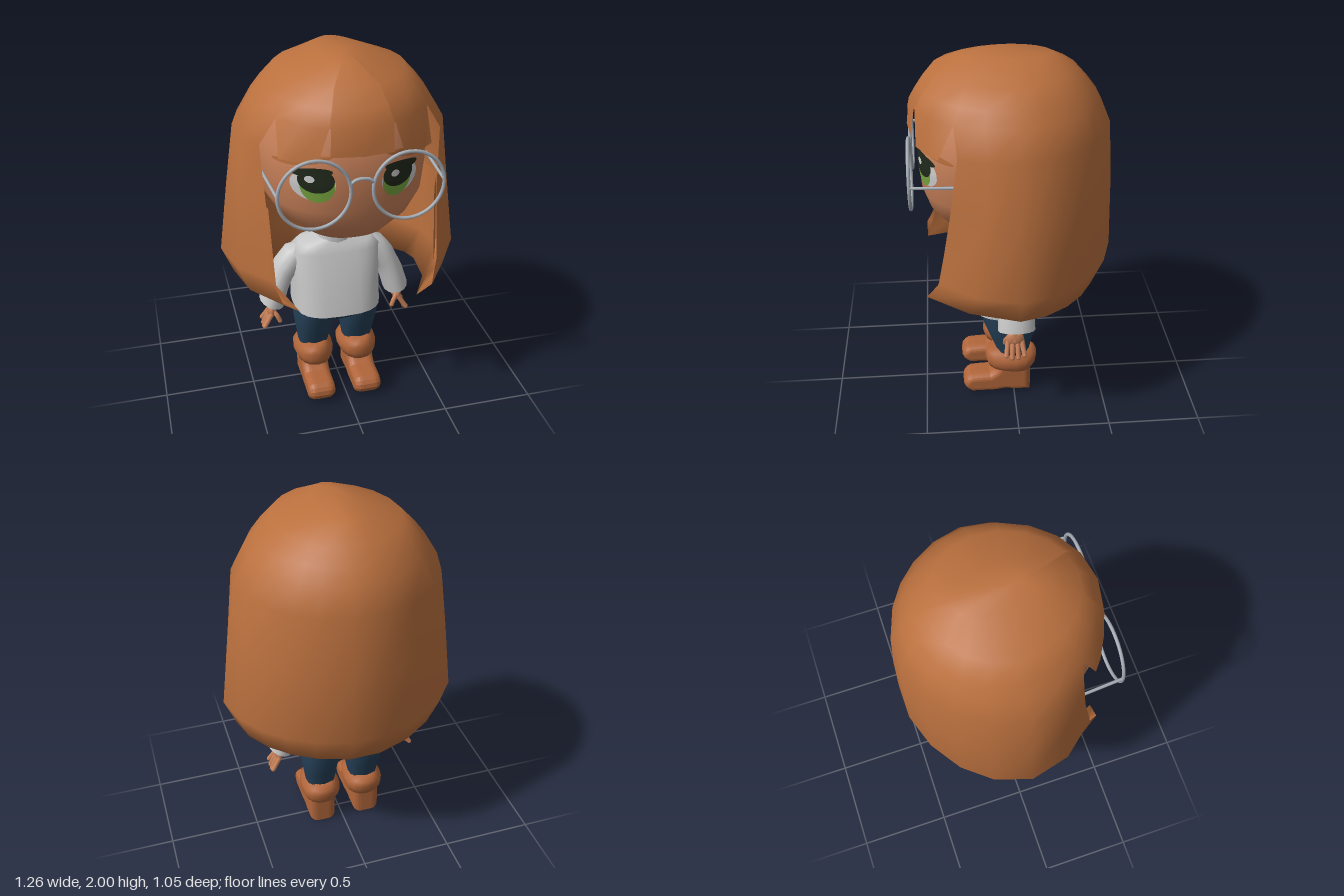
import * as THREE from 'three';
import { mergeVertices } from 'three/addons/utils/BufferGeometryUtils.js';

const mat = (name, color, side = THREE.FrontSide) => {
  const m = new THREE.MeshStandardMaterial({ color, side });
  m.name = name;
  return m;
};
const V = (x, y, z) => new THREE.Vector3(x, y, z);
const RAD = Math.PI / 180;
const pw = (v, p) => Math.sign(v) * Math.abs(v) ** p;

// Interpolates rows of [y, ...values], sorted by rising y
function sample(keys, y) {
  let i = 0;
  while (i < keys.length - 2 && y > keys[i + 1][0]) i++;
  const k = THREE.MathUtils.clamp((y - keys[i][0]) / (keys[i + 1][0] - keys[i][0]), 0, 1);
  return keys[i].map((v, n) => v + (keys[i + 1][n] - v) * k);
}

// Closed skin over rings listed from bottom to top; skip(i, j) leaves quads out
function loft(rings, skip = () => false) {
  const n = rings[0].length, index = [];
  for (let i = 0; i < rings.length - 1; i++)
    for (let j = 0; j < n; j++) {
      if (skip(i, j)) continue;
      const k = (j + 1) % n, a = i * n + j, b = i * n + k;
      index.push(a, b, b + n, a, b + n, a + n);
    }
  const g = new THREE.BufferGeometry().setFromPoints(rings.flat());
  g.setIndex(index);
  return g;
}
const smooth = (g) => {
  g.computeVertexNormals();
  return g.toNonIndexed();
};

// Horizontal ring with half-width a, front zf and back zb; e = 2 is an ellipse
function ring([y, a, zf, zb], n = 16, cx = 0, e = 2) {
  return Array.from({ length: n }, (_, j) => {
    const t = (j / n) * Math.PI * 2, c = pw(Math.cos(t), 2 / e);
    return V(cx + a * pw(Math.sin(t), 2 / e), y, c > 0 ? c * zf : -c * zb);
  });
}
const tower = (rows, n, cx, e) => smooth(loft(rows.map((r) => ring(r, n, cx, e))));

// Outer hair: [y, half-width, front, back, angle of the edge beside the face]
const HAIR = [
  [0.67, 0.45, 0.63, -0.28, 43], [0.75, 0.57, 0.63, -0.46, 43], [0.92, 0.632, 0.54, -0.53, 43],
  [1.3, 0.582, 0.495, -0.52, 48], [1.62, 0.535, 0.527, -0.5, 57], [1.75, 0.455, 0.51, -0.445, 54],
  [1.8, 0.42, 0.48, -0.41, 54], [1.9, 0.325, 0.4, -0.32, 54], [1.97, 0.12, 0.26, -0.2, 54],
];
function hairPoint(y, deg, k = 1) {
  const [, a, zf, zb] = sample(HAIR, y), s = Math.sin(deg * RAD), c = Math.cos(deg * RAD);
  const low = THREE.MathUtils.clamp((0.95 - y) / 0.28, 0, 1);
  const lift = low * (0.03 * Math.abs(s) + Math.max(0, c) * 0.11);
  const flat = c < 0 ? k * (1 - 0.04 * Math.abs(2 * s * c)) : k; // broad planes at the back corners
  return V(a * s * flat, y + lift, c > 0 ? c * zf * k : -c * zb * flat);
}
// Hair columns in degrees: round the back, then across the fringe (roots and tips)
const BACK = [54, 72, 90, 107, 124, 139, 154, 172, 189, 208, 228, 248, 270, 288, 306];
const ROOTS = [306, 323, 340, 341, 360, 379, 380, 397, 414];
const TIPS = [316, 323, 337, 343, 360, 376, 383, 397, 404];
// Turns the two locks so that their front edges follow the edge angle
function backAngle(d, y) {
  const off = Math.abs(d - 180) - 90;
  return off > 0 ? 180 + Math.sign(d - 180) * (90 + (off / 36) * (90 - sample(HAIR, y)[4])) : d;
}

// Head: [y, half-width, front, back]
const HEAD = [
  [1.045, 0.02, 0.12, -0.05], [1.07, 0.15, 0.29, -0.15], [1.11, 0.25, 0.375, -0.2],
  [1.2, 0.36, 0.435, -0.25], [1.3, 0.415, 0.468, -0.28], [1.45, 0.43, 0.48, -0.3],
  [1.6, 0.43, 0.475, -0.3], [1.75, 0.36, 0.4, -0.28],
];
const faceZ = (x, y) => {
  const [, a, zf] = sample(HEAD, y);
  return zf * (1 - Math.min(1, Math.abs(x) / a) ** 2.4) ** (1 / 2.4);
};

// Thin oval laid on the face
function facePatch(cx, cy, rx, ry, off, tilt = 0) {
  const g = new THREE.RingGeometry(0.001, 1, 28, 6).scale(rx, ry, 1).rotateZ(tilt).translate(cx, cy, 0);
  const p = g.attributes.position;
  for (let i = 0; i < p.count; i++) p.setZ(i, faceZ(p.getX(i), p.getY(i)) + off);
  g.computeVertexNormals();
  return g;
}

export function createModel() {
  const root = new THREE.Group();
  const M = {
    hair: mat('hair', 0xba703e, THREE.DoubleSide),
    skin: mat('skin', 0xc67f58),
    sweater: mat('sweater', 0xc6c6c6, THREE.DoubleSide),
    trousers: mat('trousers', 0x243f56),
    boots: mat('boots', 0xb0653a),
    metal: mat('glasses metal', 0xa6adb5),
    dark: mat('eye dark', 0x20281b),
    green: mat('iris green', 0x76a33e),
    white: mat('eye white', 0xcccccc),
  };
  const add = (name, geo, material, parent = root) => {
    const m = new THREE.Mesh(geo, material);
    m.name = name;
    parent.add(m);
    return m;
  };
  const rod = (name, pts, r, material, parent) =>
    add(name, new THREE.TubeGeometry(new THREE.CatmullRomCurve3(pts), 8, r, 8), material, parent);

  // Hair: inner wall, curled hem, outer wall, crown; open over the face below a notched fringe
  const outer = (y) => [...BACK.map((d) => hairPoint(y, backAngle(d, y))), ...ROOTS.map((d) => hairPoint(y, d))];
  const inner = (y, depth) => [...BACK, ...ROOTS].map((d) => {
    const edge = Math.min(1, Math.abs(Math.abs(d - 180) - 126) / 50);
    return hairPoint(y, backAngle(d, y), 0.98 - depth * edge);
  });
  const fringeRow = [
    ...BACK.map((d) => hairPoint(1.62, backAngle(d, 1.62))),
    ...TIPS.map((d, j) => hairPoint(j < 3 || j > 5 ? 1.58 : 1.615, d)),
  ];
  const rows = [inner(1.3, 0.2), inner(0.88, 0.28), ...[0.67, 0.75, 0.92, 1.3].map(outer), fringeRow,
    ...[1.75, 1.82, 1.9, 1.97].map(outer), outer(1.97).map(() => V(0, 2, 0.12))];
  const first = BACK.length - 1, gaps = [0, 3, 6, 9].map((j) => first + j);
  const hairSkin = loft(rows, (i, j) => (i < 6 && j >= first) || (i === 6 && gaps.includes(j)));
  add('hair', smooth(mergeVertices(hairSkin)), M.hair);

  // Head and face
  add('head', tower(HEAD, 64, 0, 2.4), M.skin);
  for (const s of [-1, 1]) {
    const x = s * 0.205 - 0.012;
    add('eyeWhite', facePatch(x + s * 0.006, 1.452, 0.1, 0.082, 0.003), M.white);
    add('iris', facePatch(x - s * 0.012, 1.447, 0.078, 0.086, 0.005), M.green);
    add('pupil', facePatch(x - s * 0.006, 1.477, 0.082, 0.064, 0.007), M.dark);
    add('upperLash', facePatch(x + s * 0.012, 1.518, 0.092, 0.024, 0.008, -s * 0.08), M.dark);
    add('eyeGlint', facePatch(x - 0.025, 1.485, 0.022, 0.018, 0.009), M.white);
    add('eyebrow', facePatch(s * 0.25 - 0.01, 1.572, 0.13, 0.02, 0.004, -s * 0.24), M.hair);
  }

  // Glasses
  const glasses = new THREE.Group();
  glasses.name = 'glasses';
  glasses.position.x = -0.008;
  root.add(glasses);
  for (const s of [-1, 1]) {
    add('lensRim', new THREE.TorusGeometry(0.175, 0.009, 8, 40), M.metal, glasses).position.set(s * 0.229, 1.44, 0.518);
    rod('temple', [V(s * 0.404, 1.45, 0.518), V(s * 0.425, 1.45, 0.2)], 0.008, M.metal, glasses);
  }
  rod('bridge', [V(-0.06, 1.475, 0.518), V(-0.03, 1.497, 0.518), V(0.03, 1.497, 0.518), V(0.06, 1.475, 0.518)], 0.009, M.metal, glasses);

  const body = new THREE.Group();
  body.name = 'body';
  body.position.x = -0.016;
  root.add(body);

  // Sweater and collar
  add('neck', new THREE.CylinderGeometry(0.07, 0.07, 0.2, 16), M.skin, body).position.y = 1.0;
  add('sweater', tower([
    [0.54, 0.225, 0.2, -0.15], [0.53, 0.243, 0.225, -0.168], [0.53, 0.243, 0.225, -0.168], [0.7, 0.24, 0.185, -0.14],
    [0.87, 0.245, 0.13, -0.11], [0.91, 0.2, 0.11, -0.1], [0.945, 0.08, 0.085, -0.08],
  ], 24, 0, 3), M.sweater, body);
  add('collar', tower([
    [0.92, 0.1, 0.1, -0.09], [1.035, 0.092, 0.09, -0.085], [1.035, 0.092, 0.09, -0.085], [1.035, 0.065, 0.065, -0.06],
  ], 16, 0, 2.4), M.sweater, body);

  for (const s of [-1, 1]) {
    // Sleeve: [x, y, in-plane radius, depth radius] from the cuff lining to the shoulder
    const dir = (dx, dy) => V(s * dx, dy, 0).normalize();
    const sleeve = [
      [0.33, 0.64, 0.05, 0.07], [0.358, 0.55, 0.07, 0.1], [0.358, 0.55, 0.07, 0.1],
      [0.325, 0.66, 0.068, 0.095], [0.285, 0.75, 0.072, 0.085], [0.225, 0.83, 0.07, 0.08], [0.17, 0.86, 0.05, 0.06],
    ].map(([x, y, r1, r2], i) => {
      const d = dir(i < 4 ? -0.3 : -0.75, i < 4 ? 0.95 : 0.66);
      return Array.from({ length: 14 }, (_, j) => {
        const t = (j / 14) * Math.PI * 2, u = Math.sin(t) * r1;
        return V(s * x + d.y * u, y - d.x * u, Math.cos(t) * r2);
      });
    });
    add('sleeve', smooth(loft(sleeve)), M.sweater, body);

    // Hand with four fingers and a thumb
    const hand = new THREE.Group();
    hand.name = 'hand';
    hand.position.set(s * 0.365, 0.5, 0.01);
    body.add(hand);
    rod('wrist', [V(-s * 0.02, 0.1, 0), V(0, -0.01, 0)], 0.028, M.skin, hand);
    const palm = add('palm', new THREE.SphereGeometry(1, 14, 10), M.skin, hand);
    palm.scale.set(0.024, 0.05, 0.05);
    for (let f = 0; f < 4; f++) {
      const z = (f - 1.5) * 0.025, drop = f === 0 || f === 3 ? 0.08 : 0.095;
      const tip = V(s * 0.045, -drop, z * 1.3);
      rod('finger', [V(0, -0.01, z), V(s * 0.025, -0.05, z * 1.15), tip], 0.0135, M.skin, hand);
      add('fingertip', new THREE.SphereGeometry(0.0135, 8, 6), M.skin, hand).position.copy(tip);
    }
    const thumbTip = V(-s * 0.04, -0.055, 0.05);
    rod('thumb', [V(0, 0.01, 0.02), V(-s * 0.025, -0.02, 0.045), thumbTip], 0.013, M.skin, hand);
    add('thumbTip', new THREE.SphereGeometry(0.013, 8, 6), M.skin, hand).position.copy(thumbTip);

    // Trouser leg
    add('trouserLeg', tower([
      [0.2, 0.07, 0.08, -0.08], [0.27, 0.085, 0.095, -0.09], [0.36, 0.098, 0.13, -0.11],
      [0.45, 0.11, 0.165, -0.135], [0.55, 0.1, 0.185, -0.14],
    ], 16, s * 0.128, 2.4), M.trousers, body);

    // Boot: soft foot, shaft, slouched cuff
    const sole = new THREE.Shape();
    sole.moveTo(-0.06, 0.035);
    sole.lineTo(0.0, 0.035);
    sole.quadraticCurveTo(0.05, 0.05, 0.1, 0.035);
    sole.lineTo(0.23, 0.035);
    sole.quadraticCurveTo(0.27, 0.06, 0.235, 0.08);
    sole.quadraticCurveTo(0.18, 0.085, 0.13, 0.085);
    sole.quadraticCurveTo(0.08, 0.11, 0.06, 0.15);
    sole.lineTo(-0.06, 0.15);
    sole.closePath();
    const foot = new THREE.ExtrudeGeometry(sole, { depth: 0.064, bevelSize: 0.035, bevelThickness: 0.045, bevelSegments: 5, curveSegments: 6 });
    foot.translate(0, 0, -0.032).rotateY(-Math.PI / 2);
    add('bootFoot', foot, M.boots, body).position.x = s * 0.133;
    add('bootShaft', tower([[0.08, 0.075, 0.095, -0.09], [0.2, 0.075, 0.1, -0.085]], 16, s * 0.13), M.boots, body);
    const cuff = add('bootCuff', tower([
      [0.14, 0.07, 0.1, -0.06], [0.155, 0.095, 0.155, -0.1], [0.19, 0.11, 0.17, -0.115], [0.23, 0.11, 0.172, -0.12],
      [0.255, 0.085, 0.168, -0.115], [0.285, 0.06, 0.145, -0.085], [0.26, 0.02, 0.03, -0.03],
    ], 16, s * 0.128, 2.3), M.boots, body);
    cuff.rotation.x = -0.06;
  }

  // Hips joining the legs
  add('hips', tower([
    [0.44, 0.02, 0.05, -0.04], [0.45, 0.15, 0.13, -0.11], [0.48, 0.228, 0.165, -0.135], [0.55, 0.225, 0.185, -0.14],
  ], 24, 0, 2.5), M.trousers, body);

  return root;
}
